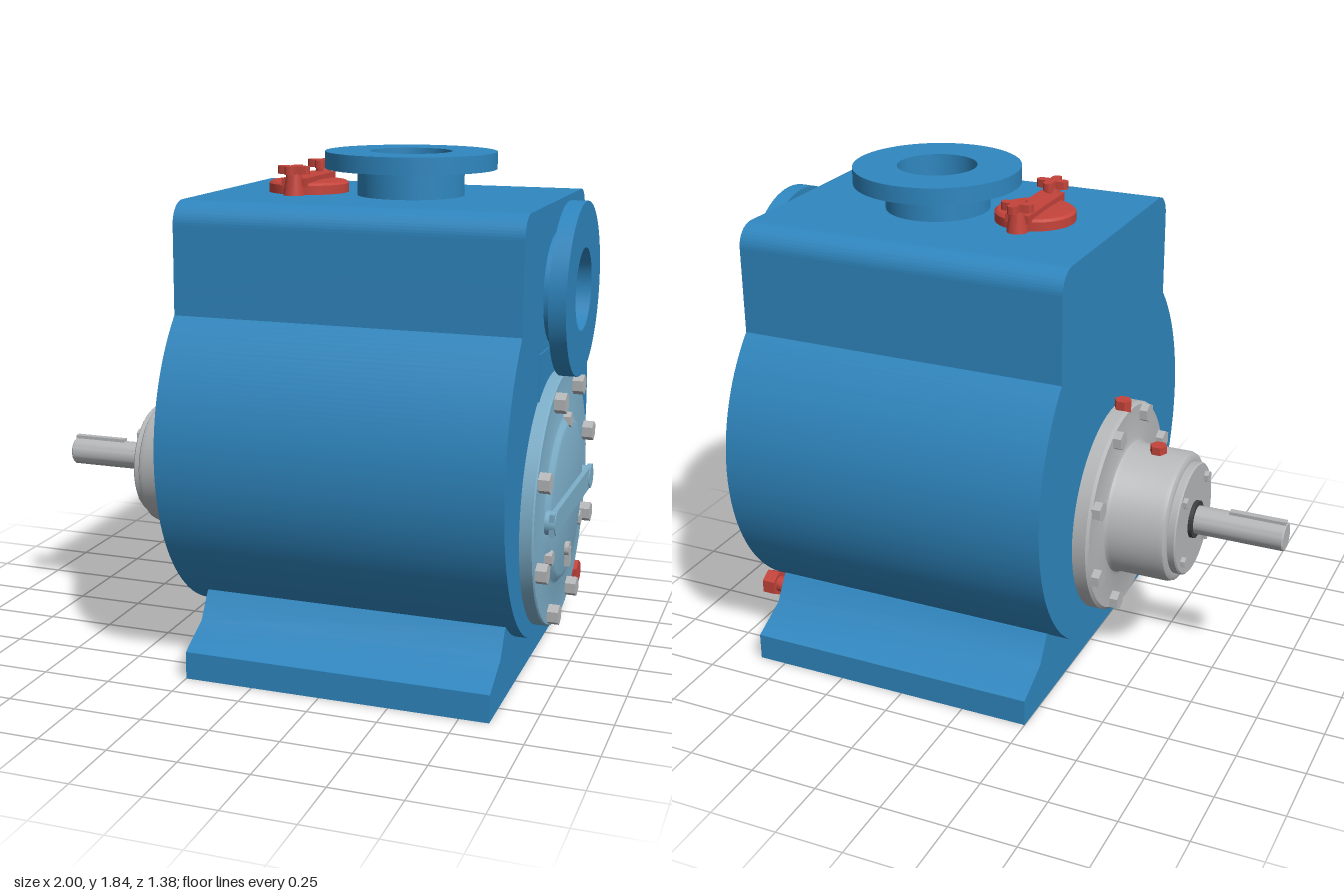
import * as THREE from 'three';
import { toCreasedNormals } from 'three/addons/utils/BufferGeometryUtils.js';

const paint = (name, color) => {
  const m = new THREE.MeshStandardMaterial({ color });
  m.name = name;
  return m;
};

export function createModel() {
  const model = new THREE.Group();
  model.name = 'pump';
  const blue = paint('bluePaint', 0x2f87c0);
  const paleBlue = paint('paleBluePaint', 0x7dafca);
  const steel = paint('steel', 0xb5b7b9);
  const red = paint('redPaint', 0xc4443b);
  const rubber = paint('darkRubber', 0x404040);
  const axisY = 0.617; // height of the shaft line

  const add = (name, geo, mat, x = 0, y = 0, z = 0) => {
    const mesh = new THREE.Mesh(toCreasedNormals(geo, 0.6), mat);
    mesh.name = name;
    mesh.position.set(x, y, z);
    model.add(mesh);
    return mesh;
  };
  const box = (name, mat, w, h, d, x, y, z) => add(name, new THREE.BoxGeometry(w, h, d), mat, x, y, z);
  // Turned parts: profile points are [radius, distance along the axis]
  const turned = (pts, seg = 64) => new THREE.LatheGeometry(pts.map(p => new THREE.Vector2(...p)), seg);
  const turnedX = (name, mat, pts, y = axisY, z = 0, seg = 64) =>
    add(name, turned(pts, seg).rotateZ(-Math.PI / 2), mat, 0, y, z);
  // Hexagonal head or cylinder lying along x, from x0 to x1
  const rodX = (name, mat, r, x0, x1, y, z, seg = 6) =>
    add(name, new THREE.CylinderGeometry(r, r, x1 - x0, seg).rotateY(Math.PI / 6).rotateZ(-Math.PI / 2),
      mat, (x0 + x1) / 2, y, z);
  const boltCircle = (name, count, radius, start, r, x0, x1) => {
    for (let i = 0; i < count; i++) {
      const a = start + (i * 2 * Math.PI) / count;
      rodX(name, steel, r, x0, x1, axisY + radius * Math.cos(a), radius * Math.sin(a));
    }
  };
  const extrudeX = (name, mat, shape, x0, x1) =>
    add(name, new THREE.ExtrudeGeometry(shape, { depth: x1 - x0, bevelEnabled: false, curveSegments: 40 })
      .rotateY(Math.PI / 2), mat, x0);

  // Casing: round volute with a square-shouldered tank above
  const R = 0.69, cy = 0.81, low = -Math.acos(0.16 / R), high = Math.acos(0.5 / R);
  const casing = new THREE.Shape();
  casing.moveTo(-0.16, cy + R * Math.sin(low));
  casing.absarc(0, cy, R, low, high, false);
  casing.absarc(0.42, 1.6, 0.08, 0, Math.PI / 2, false);
  casing.absarc(-0.42, 1.6, 0.08, Math.PI / 2, Math.PI, false);
  casing.absarc(0, cy, R, Math.PI - high, Math.PI - low, false);
  extrudeX('casing', blue, casing, -0.33, 0.9);

  // Foot
  const foot = new THREE.Shape();
  [[-0.63, 0], [0.63, 0], [0.63, 0.1], [0.49, 0.17], [0.43, 0.265],
    [-0.43, 0.265], [-0.49, 0.17], [-0.63, 0.1]].forEach(([a, b], i) => i ? foot.lineTo(a, b) : foot.moveTo(a, b));
  extrudeX('foot', blue, foot, -0.25, 0.855);

  // Outlet on top and inlet on the end
  add('outletFlange', turned([[0.19, 1.67], [0.19, 1.775], [0.305, 1.775], [0.305, 1.835],
    [0.145, 1.835], [0.145, 1.72], [0.1, 1.7], [0, 1.685]]), blue, 0.37, 0, 0);
  turnedX('inletFlange', blue, [[0.195, 0.89], [0.195, 0.94], [0.305, 0.94], [0.305, 1],
    [0.145, 1], [0.145, 0.9]], 1.375);
  turnedX('inletFlap', rubber, [[0.145, 0.902], [0.125, 0.902], [0.125, 0.91], [0, 0.91]], 1.375);
  box('inletPad', blue, 0.01, 0.3, 0.46, 0.9, 1.03, 0);

  // Inspection cover with a raised centre
  turnedX('cover', paleBlue, [[0.46, 0.895], [0.46, 0.943], [0.455, 0.948], [0.31, 0.948], [0.298, 0.952],
    [0.285, 0.965], [0.272, 0.969], [0, 0.969]]);
  boltCircle('coverBolt', 8, 0.416, Math.PI / 8, 0.037, 0.94, 0.987);
  boltCircle('coverJackBolt', 3, 0.29, 0, 0.028, 0.945, 0.975);

  // Cover handle on two posts
  box('coverHandle', paleBlue, 0.018, 0.08, 0.7, 0.986, axisY, 0);
  for (const s of [-1, 1]) rodX('handlePost', paleBlue, 0.042, 0.96, 0.998, axisY, s * 0.31, 24);

  // Relief valve under the handle
  rodX('reliefValve', steel, 0.026, 0.96, 0.985, 0.43, 0, 16);
  box('reliefSpout', steel, 0.02, 0.07, 0.026, 0.978, 0.4, 0);

  // Drain plug
  rodX('drainPlug', red, 0.05, 0.895, 0.945, 0.2, -0.41);
  rodX('drainPlugNeck', red, 0.03, 0.84, 0.9, 0.2, -0.41, 20);

  // Bearing housing, shaft side
  turnedX('bearingHousing', steel, [[0.21, -0.645], [0.21, -0.62], [0.225, -0.62], [0.237, -0.612], [0.243, -0.595],
    [0.243, -0.41], [0.25, -0.396], [0.265, -0.39], [0.385, -0.39], [0.395, -0.38], [0.395, -0.325]]);
  turnedX('bearingCap', steel, [[0.06, -0.65], [0.205, -0.65], [0.21, -0.645], [0.21, -0.61]]);
  turnedX('shaftSeal', rubber, [[0.05, -0.665], [0.07, -0.665], [0.07, -0.64]]);
  boltCircle('housingBolt', 8, 0.355, Math.PI / 8, 0.036, -0.42, -0.385);
  boltCircle('capBolt', 4, 0.17, Math.PI / 4, 0.022, -0.667, -0.645);

  // Drive shaft and key
  turnedX('shaft', steel, [[0, -1], [0.048, -1], [0.053, -0.995], [0.053, -0.6]], axisY, 0, 32);
  box('shaftKey', steel, 0.21, 0.04, 0.026, -0.892, 0.66, 0);

  // Grease and vent plugs
  const plug = new THREE.CylinderGeometry(0.032, 0.032, 0.045, 6).rotateY(Math.PI / 6);
  add('greasePlug', plug, red, -0.505, 0.866, 0);
  add('ventPlug', plug, red, -0.363, 1.022, 0);

  // Filler cap: lid, clamp bar and two four-lobed knobs
  const capX = -0.015;
  add('fillerLid', turned([[0.145, 1.675], [0.145, 1.712], [0.135, 1.72], [0, 1.725]], 48), red, capX);
  box('clampBar', red, 0.09, 0.03, 0.32, capX, 1.725, 0);
  for (const s of [-1, 1]) {
    add('knobStud', new THREE.CylinderGeometry(0.025, 0.04, 0.1, 20), red, capX, 1.72, s * 0.155);
    for (const turn of [0, Math.PI / 2]) {
      const lobe = new THREE.Shape();
      lobe.absarc(0.042, 0, 0.018, -Math.PI / 2, Math.PI / 2, false);
      lobe.absarc(-0.042, 0, 0.018, Math.PI / 2, Math.PI * 1.5, false);
      const geo = new THREE.ExtrudeGeometry(lobe, { depth: 0.028, bevelEnabled: false });
      add('knobLobes', geo.rotateX(-Math.PI / 2).rotateY(turn), red, capX, 1.755, s * 0.155);
    }
  }
  return model;
}
